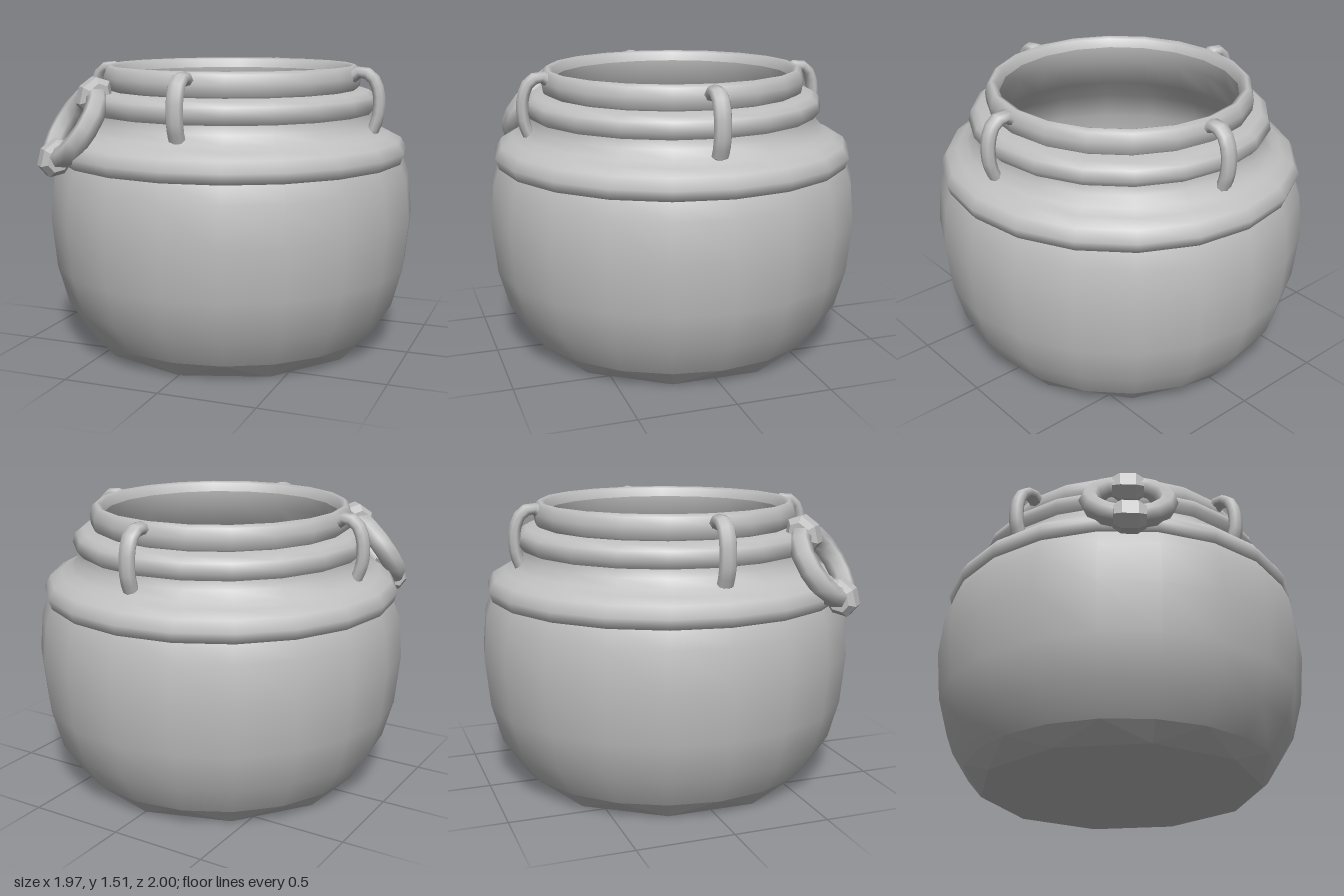
import * as THREE from 'three';

const SIDES = 20;
const STRETCH = 0.983; // the pot is slightly narrower across x

export function createModel() {
  const model = new THREE.Group();
  model.name = 'pot';
  const clay = new THREE.MeshStandardMaterial({ color: 0xc0c0c0 });
  clay.name = 'grey clay';

  function add(name, geometry, parent = model) {
    const mesh = new THREE.Mesh(geometry, clay);
    mesh.name = name;
    parent.add(mesh);
    return mesh;
  }
  const vessel = new THREE.Group();
  vessel.name = 'vessel';
  vessel.scale.x = STRETCH;
  model.add(vessel);

  // Turned parts, each listed as [radius, height] going up the outside
  function turn(name, profile) {
    const points = profile.map(([r, y]) => new THREE.Vector2(r, y));
    add(name, new THREE.LatheGeometry(points, SIDES), vessel);
  }
  turn('belly', [[0.82, 0.09], [0.92, 0.25], [0.975, 0.45], [1, 0.71], [0.98, 0.92], [0.94, 1.02]]);
  turn('collarRing', [[0.9, 1.0], [0.945, 1.005], [0.963, 1.06], [0.93, 1.115], [0.87, 1.145], [0.82, 1.17], [0.78, 1.215], [0.77, 1.26]]);
  turn('neckRing', [[0.72, 1.235], [0.76, 1.245], [0.8, 1.295], [0.785, 1.345], [0.75, 1.37], [0.67, 1.38]]);
  turn('rim', [[0.67, 1.37], [0.7, 1.39], [0.705, 1.445], [0.69, 1.49], [0.67, 1.505], [0.645, 1.495], [0.63, 1.45]]);
  turn('interior', [[0.63, 1.45], [0.64, 1.36], [0.72, 1.2], [0.87, 1.06], [0.93, 0.9],
    [0.95, 0.71], [0.925, 0.45], [0.87, 0.27], [0.76, 0.13], [0.6, 0.06]]);
  const floor = new THREE.CircleGeometry(0.6, SIDES).rotateX(-Math.PI / 2).translate(0, 0.06, 0);
  add('innerFloor', floor, vessel);

  // Faceted foot: twenty corners above meet a ten-sided base
  const step = Math.PI / 10;
  const top = (k) => [0.82 * Math.cos(k * step), 0.09, 0.82 * Math.sin(k * step)];
  const base = (k) => [0.745 * Math.cos(k * step), 0, 0.745 * Math.sin(k * step)];
  const corners = [];
  for (let k = 0; k < SIDES; k += 2) {
    corners.push(...top(k), ...base(k + 1), ...base(k - 1));
    corners.push(...base(k + 1), ...top(k), ...top(k + 1));
    corners.push(...base(k + 1), ...top(k + 1), ...top(k + 2));
  }
  const foot = new THREE.BufferGeometry();
  foot.setAttribute('position', new THREE.Float32BufferAttribute(corners, 3));
  foot.computeVertexNormals();
  add('foot', foot, vessel);
  add('underside', new THREE.CircleGeometry(0.745, 10).rotateZ(step).rotateX(Math.PI / 2), vessel);

  // Four curved lugs from the rim down to the neck
  const lugPath = new THREE.CatmullRomCurve3([
    [0.67, 1.45], [0.715, 1.48], [0.775, 1.455], [0.808, 1.39], [0.816, 1.31], [0.808, 1.24], [0.785, 1.18],
  ].map(([x, y]) => new THREE.Vector3(x, y, 0)));
  const lugGeometry = new THREE.TubeGeometry(lugPath, 9, 0.032, 8).scale(1, 1, 1.4);
  const tip = new THREE.SphereGeometry(0.032, 8, 6).scale(1, 0.7, 1.4).translate(0.785, 1.18, 0);
  for (const [i, side] of ['left', 'back', 'right', 'front'].entries()) {
    const lug = new THREE.Group();
    lug.name = side + 'Lug';
    lug.rotation.y = i * Math.PI / 2;
    lug.position.set(i % 2 ? 0.022 : 0, 0, i % 2 ? 0 : 0.022);
    add('lugArch', lugGeometry, lug);
    add('lugTip', tip, lug);
    model.add(lug);
  }

  // Leaning ring with two chunky knots, resting on the shoulder
  const across = new THREE.Vector3(1, 0, 1).normalize();
  const upSlope = new THREE.Vector3(0.4, 0.83, -0.4).normalize();
  const outward = across.clone().cross(upSlope);
  const clasp = new THREE.Group();
  clasp.name = 'shoulderClasp';
  clasp.quaternion.setFromRotationMatrix(new THREE.Matrix4().makeBasis(across, upSlope, outward));
  clasp.position.set(-0.615, 1.21, 0.63);
  model.add(clasp);
  add('claspRing', new THREE.TorusGeometry(0.195, 0.053, 6, 14).scale(1, 1, 1.1), clasp);
  const knotProfile = [[0, -0.08], [0.055, -0.08], [0.08, -0.04], [0.08, 0.04], [0.055, 0.08], [0, 0.08]]
    .map(([r, y]) => new THREE.Vector2(r, y));
  const knotGeometry = new THREE.LatheGeometry(knotProfile, 7)
    .rotateZ(Math.PI / 2).scale(1, 1.3, 1).toNonIndexed();
  knotGeometry.computeVertexNormals();
  for (const s of [1, -1]) {
    const knot = add(s > 0 ? 'upperKnot' : 'lowerKnot', knotGeometry, clasp);
    knot.position.y = s * 0.185;
    knot.rotation.z = s > 0 ? 0 : Math.PI;
  }
  return model;
}
